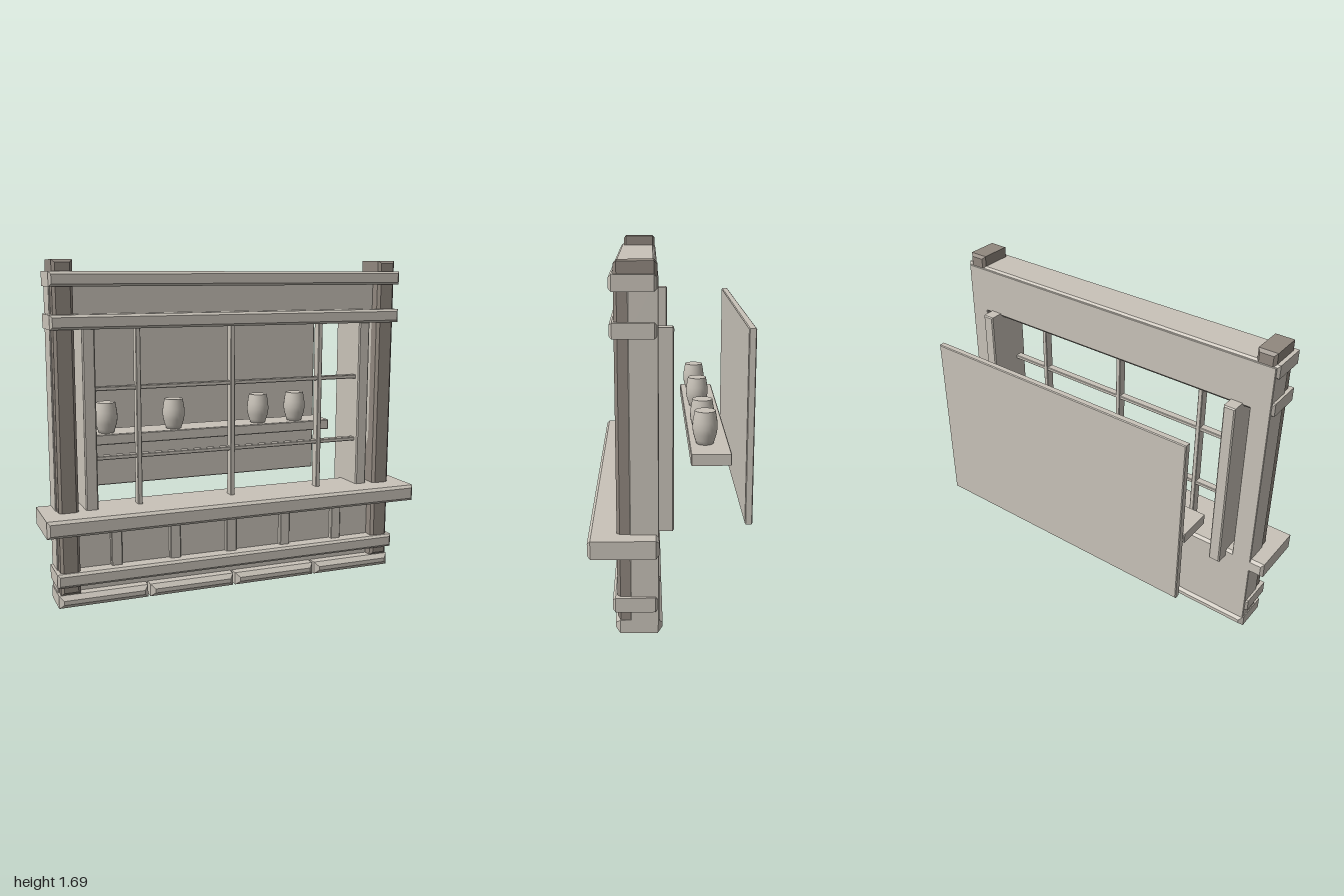
import * as THREE from 'three';

// Box with chamfered edges, given by its min/max on each axis
function chamferBox(x0, x1, y0, y1, z0, z1, c) {
  const s = new THREE.Shape();
  s.moveTo(x0 + c, y0 + c);
  s.lineTo(x1 - c, y0 + c);
  s.lineTo(x1 - c, y1 - c);
  s.lineTo(x0 + c, y1 - c);
  s.closePath();
  const g = new THREE.ExtrudeGeometry(s, {
    depth: z1 - z0 - 2 * c, bevelEnabled: true, bevelThickness: c, bevelSize: c, bevelSegments: 1,
  });
  return g.translate(0, 0, z0 + c);
}

export function createModel() {
  const root = new THREE.Group();
  root.name = 'shopWindow';
  const pale = new THREE.MeshStandardMaterial({ color: 0xc9c3b9 });
  pale.name = 'paleStone';
  const dark = new THREE.MeshStandardMaterial({ color: 0x91887f });
  dark.name = 'darkTimber';

  const add = (name, geometry, material = pale) => {
    const m = new THREE.Mesh(geometry, material);
    m.name = name;
    root.add(m);
    return m;
  };
  const block = (name, x0, x1, y0, y1, z0, z1, c = 0.006, material = pale) =>
    add(name, chamferBox(x0, x1, y0, y1, z0, z1, c), material);

  // Foundation stones
  for (let i = 0; i < 4; i++) {
    const x = -0.93 + i * 0.467;
    block('foundationStone', x, x + 0.455, 0, 0.065, 0.045, 0.26, 0.022);
  }

  // Walls below and above the opening
  block('lowerWall', -0.925, 0.925, 0.04, 0.44, 0.06, 0.19, 0.003);
  block('upperWall', -0.925, 0.925, 1.38, 1.625, 0.06, 0.19, 0.003);

  // Side walls, corner posts and window jambs
  for (const s of [-1, 1]) {
    const side = (name, a, b, ...rest) => block(name, Math.min(s * a, s * b), Math.max(s * a, s * b), ...rest);
    side('sideWall', 0.82, 0.925, 0.43, 1.39, 0.06, 0.19, 0.003);
    side('cornerPost', 0.82, 0.918, 0.065, 1.69, 0.064, 0.25, 0.014, dark);
    side('windowJamb', 0.72, 0.782, 0.44, 1.39, -0.01, 0.235, 0.006);
  }

  // Horizontal rails and the deep sill
  for (const [y0, y1] of [[0.11, 0.18], [1.365, 1.435], [1.565, 1.635]]) {
    block('rail', -0.938, 0.938, y0, y1, 0.066, 0.27, 0.012);
  }
  block('sill', -1, 1, 0.397, 0.482, 0.06, 0.378, 0.014);

  // Slats on the lower wall
  for (let i = 0; i < 5; i++) {
    const x = -0.627 + i * 0.31;
    block('wallSlat', x - 0.028, x + 0.028, 0.16, 0.42, 0.17, 0.215, 0.004);
  }

  // Window grid
  for (const x of [-0.5, 0, 0.5]) {
    block('verticalBar', x - 0.012, x + 0.012, 0.46, 1.39, 0.16, 0.21, 0.003);
  }
  for (const y of [0.73, 1.073]) {
    block('horizontalBar', -0.73, 0.73, y - 0.01, y + 0.01, 0.165, 0.205, 0.003);
  }

  // Display shelf with jars
  block('displayShelf', -0.72, 0.72, 0.735, 0.79, -0.28, -0.09, 0.004);
  const profile = [[0, 0.785], [0.04, 0.785], [0.048, 0.81], [0.057, 0.84], [0.061, 0.868],
    [0.059, 0.9], [0.053, 0.935], [0.05, 0.952]].map(([r, y]) => new THREE.Vector2(r, y));
  const body = new THREE.LatheGeometry(profile, 24);
  const lid = new THREE.CircleGeometry(0.05, 24).rotateX(-Math.PI / 2).translate(0, 0.952, 0);
  for (const x of [-0.575, -0.197, 0.306, 0.535]) {
    add('jar', body).position.set(x, 0, -0.165);
    add('jarTop', lid).position.set(x, 0, -0.165);
  }

  // Back board
  block('backBoard', -0.75, 0.75, 0.457, 1.38, -0.377, -0.342, 0.004);

  return root;
}
